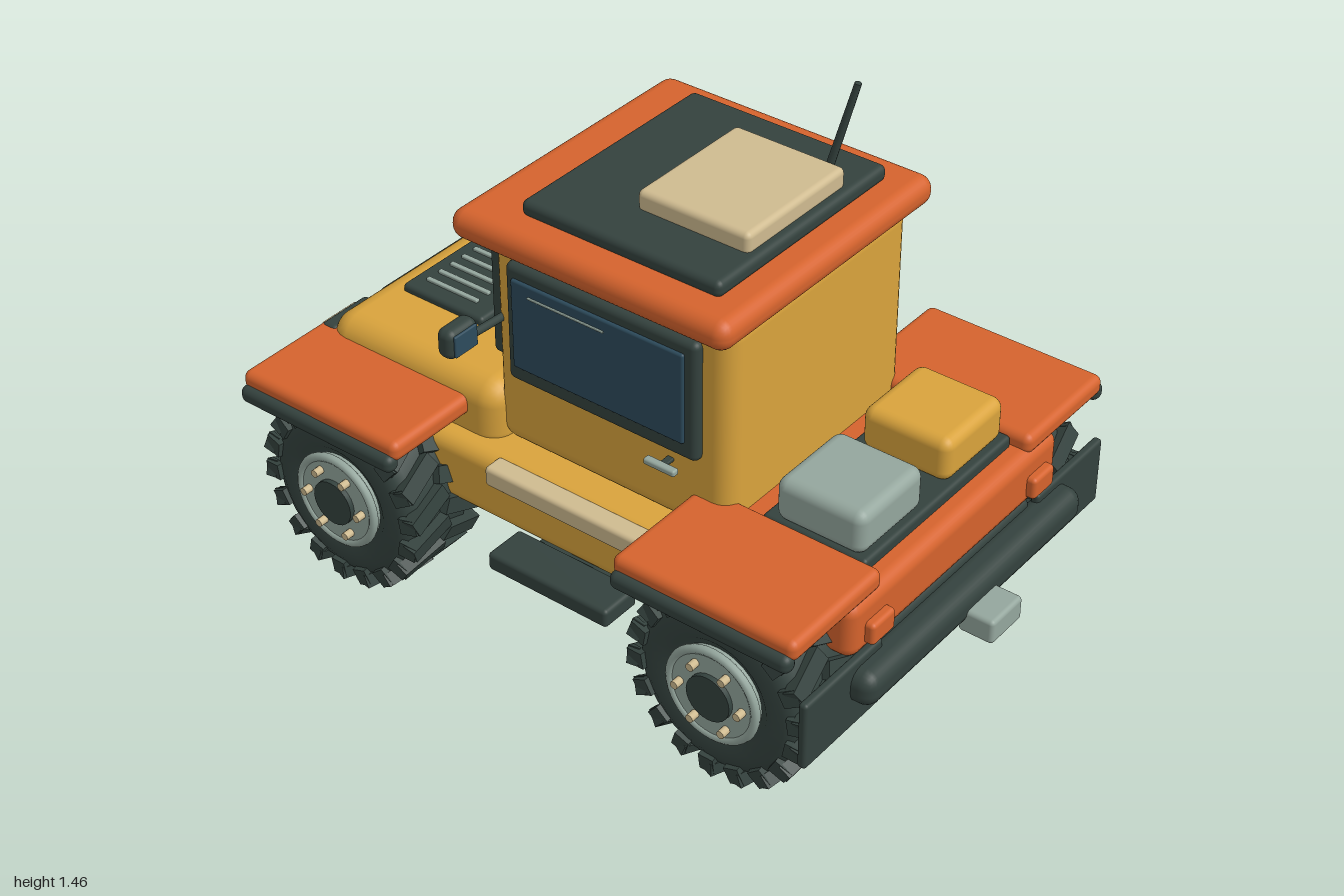
import * as THREE from 'three';
import { RoundedBoxGeometry } from 'three/addons/geometries/RoundedBoxGeometry.js';
import { mergeGeometries } from 'three/addons/utils/BufferGeometryUtils.js';

const paint = (name, color) => {
  const m = new THREE.MeshStandardMaterial({ color });
  m.name = name;
  return m;
};

export function createModel() {
  const mustard = paint('mustard', 0xd9a33c);
  const orange = paint('orange', 0xd5632d);
  const dark = paint('charcoal', 0x34423e);
  const grey = paint('greyGreen', 0x94a69d);
  const beige = paint('beige', 0xcfbb90);
  const blue = paint('glassBlue', 0x2d4b5c);
  const root = new THREE.Group();
  root.name = 'offRoadTruck';

  const add = (name, geo, mat, parent = root) => {
    const m = new THREE.Mesh(geo, mat);
    m.name = name;
    parent.add(m);
    return m;
  };
  // Rounded box given by its extents on each axis
  const box = (name, mat, [x0, x1], [y0, y1], [z0, z1], r = 0.01) => {
    const s = [x1 - x0, y1 - y0, z1 - z0];
    const radius = Math.min(r, Math.min(...s) * 0.49);
    const m = add(name, new RoundedBoxGeometry(...s, 3, radius), mat);
    m.position.set((x0 + x1) / 2, (y0 + y1) / 2, (z0 + z1) / 2);
    return m;
  };
  // The same box on both sides of the model
  const pair = (name, mat, [x0, x1], y, z, r) => {
    box('left' + name, mat, [x0, x1], y, z, r);
    box('right' + name, mat, [-x1, -x0], y, z, r);
  };
  // Round bar between two points
  const bar = (name, mat, a, b, r0, r1 = r0) => {
    const p = new THREE.Vector3(...a), q = new THREE.Vector3(...b);
    const m = add(name, new THREE.CylinderGeometry(r1, r0, p.distanceTo(q), 12), mat);
    m.position.copy(p).lerp(q, 0.5);
    m.quaternion.setFromUnitVectors(new THREE.Vector3(0, 1, 0), q.sub(p).normalize());
  };

  // Chassis and body
  box('chassis', dark, [-0.335, 0.335], [0.19, 0.4], [-0.86, 0.85], 0.025);
  box('lowerBody', mustard, [-0.46, 0.46], [0.28, 0.475], [-0.89, 0.45], 0.04);
  box('hood', mustard, [-0.4, 0.4], [0.42, 0.63], [-0.855, -0.27], 0.065);
  box('cab', mustard, [-0.365, 0.365], [0.47, 1.09], [-0.3, 0.43], 0.05);
  box('rearTub', orange, [-0.45, 0.45], [0.38, 0.54], [0.36, 0.85], 0.035);
  box('bedMat', dark, [-0.315, 0.315], [0.53, 0.57], [0.49, 0.79], 0.012);
  box('greyCargo', grey, [-0.31, -0.05], [0.565, 0.688], [0.52, 0.775], 0.03);
  box('mustardCargo', mustard, [0.045, 0.3], [0.565, 0.69], [0.52, 0.775], 0.03);

  // Roof
  box('roof', orange, [-0.43, 0.43], [1.063, 1.145], [-0.377, 0.46], 0.038);
  box('roofPlate', dark, [-0.337, 0.337], [1.14, 1.185], [-0.222, 0.375], 0.018);
  box('roofBox', beige, [-0.195, 0.195], [1.175, 1.236], [0.02, 0.35], 0.016);
  bar('antenna', dark, [0.198, 1.18, 0.288], [0.22, 1.455, 0.357], 0.011, 0.009);

  // Side windows, handles, sills and steps
  pair('WindowFrame', dark, [0.35, 0.39], [0.692, 1.032], [-0.235, 0.35], 0.018);
  pair('WindowGlass', blue, [0.38, 0.398], [0.74, 0.997], [-0.21, 0.316], 0.007);
  pair('WindowGlint', grey, [0.394, 0.401], [0.96, 0.967], [-0.155, 0.08], 0.002);
  pair('DoorHandle', grey, [0.393, 0.415], [0.646, 0.664], [0.208, 0.302], 0.006);
  pair('HandleMount', dark, [0.35, 0.398], [0.65, 0.66], [0.245, 0.265], 0.003);
  pair('Sill', beige, [0.43, 0.492], [0.418, 0.476], [-0.237, 0.35], 0.012);
  pair('Step', dark, [0.455, 0.577], [0.243, 0.296], [-0.16, 0.22], 0.012);
  pair('StepBracket', dark, [0.32, 0.47], [0.255, 0.285], [-0.1, 0.16], 0.008);

  // Windshield with two panes
  box('windshieldFrame', dark, [-0.335, 0.335], [0.7, 1.035], [-0.332, -0.28], 0.018);
  pair('WindshieldPane', blue, [0.012, 0.305], [0.735, 1.0], [-0.344, -0.32], 0.007);
  box('windshieldDivider', grey, [-0.007, 0.007], [0.735, 1.0], [-0.347, -0.325], 0.003);

  // Mirrors
  for (const s of [1, -1]) {
    bar('mirrorArm', dark, [s * 0.34, 0.838, -0.275], [s * 0.49, 0.848, -0.275], 0.011);
  }
  pair('Mirror', dark, [0.468, 0.572], [0.825, 0.908], [-0.302, -0.248], 0.022);
  pair('MirrorGlass', blue, [0.48, 0.56], [0.836, 0.897], [-0.253, -0.244], 0.004);

  // Fenders with dark edge trim
  for (const [end, z0, z1] of [['Front', -0.895, -0.367], ['Rear', 0.313, 0.842]]) {
    pair(end + 'Fender', orange, [0.315, 0.668], [0.522, 0.58], [z0, z1], 0.022);
    pair(end + 'FenderTrim', dark, [0.643, 0.688], [0.496, 0.545], [z0 + 0.005, z1 - 0.005], 0.02);
  }
  pair('MudFlap', dark, [0.34, 0.648], [0.205, 0.4], [0.842, 0.867], 0.01);

  // Rear bumper, hitch and lights
  box('rearBumper', dark, [-0.472, 0.472], [0.28, 0.378], [0.825, 0.925], 0.04);
  box('hitch', grey, [-0.067, 0.067], [0.258, 0.328], [0.9, 1], 0.012);
  pair('TailLight', orange, [0.303, 0.396], [0.41, 0.473], [0.835, 0.875], 0.012);

  // Front bumper, grille and headlights
  box('frontBumper', dark, [-0.487, 0.487], [0.28, 0.388], [-0.982, -0.88], 0.04);
  box('bumperStrip', beige, [-0.39, 0.39], [0.31, 0.335], [-1, -0.97], 0.005);
  box('grille', dark, [-0.175, 0.175], [0.45, 0.58], [-0.883, -0.83], 0.018);
  for (let i = -4; i <= 4; i++) {
    const x = i * 0.033;
    box('grilleSlat', grey, [x - 0.006, x + 0.006], [0.472, 0.558], [-0.891, -0.87], 0.003);
  }
  pair('HeadlightHousing', dark, [0.218, 0.392], [0.475, 0.585], [-0.887, -0.83], 0.018);
  pair('Headlight', beige, [0.238, 0.372], [0.492, 0.568], [-0.905, -0.87], 0.012);

  // Hood vent
  box('hoodVent', dark, [-0.195, 0.19], [0.615, 0.651], [-0.77, -0.495], 0.012);
  for (let i = -3; i <= 3; i++) {
    const x = i * 0.046 - 0.002;
    box('ventSlat', grey, [x - 0.007, x + 0.007], [0.64, 0.659], [-0.73, -0.555], 0.003);
  }

  // Wheel parts, axis along x with the outer face at +x
  const alongX = (g) => g.rotateZ(-Math.PI / 2);
  const disc = (r, x0, x1, n = 32) => alongX(new THREE.CylinderGeometry(r, r, x1 - x0, n)).translate((x0 + x1) / 2, 0, 0);
  const profile = [[0, -0.11], [0.135, -0.112], [0.15, -0.12], [0.2, -0.122], [0.228, -0.11], [0.243, -0.085],
    [0.243, 0.085], [0.228, 0.11], [0.2, 0.124], [0.15, 0.122], [0.135, 0.11], [0, 0.105]];
  const tyreGeo = alongX(new THREE.LatheGeometry(profile.map((p) => new THREE.Vector2(...p)), 40));
  const lugs = [];
  const count = 18;
  for (let i = 0; i < count; i++) {
    for (const s of [1, -1]) {
      const angle = ((i + (s > 0 ? 0 : 0.5)) / count) * Math.PI * 2;
      const tread = new THREE.BoxGeometry(0.135, 0.036, 0.046).rotateY(s * 0.38).translate(s * 0.06, 0.247, 0);
      const shoulder = new THREE.BoxGeometry(0.022, 0.05, 0.044).rotateZ(s * 0.15).translate(s * 0.116, 0.236, -s * s * 0.022);
      lugs.push(tread.rotateX(angle), shoulder.rotateX(angle));
    }
  }
  const lugGeo = mergeGeometries(lugs);
  const bolts = [];
  for (let i = 0; i < 6; i++) {
    const a = (i / 6) * Math.PI * 2;
    bolts.push(disc(0.011, 0.12, 0.163, 10).translate(0, Math.sin(a) * 0.092, Math.cos(a) * 0.092));
  }
  const boltGeo = mergeGeometries(bolts);
  const rimGeo = disc(0.128, 0.08, 0.138);
  const lipGeo = new THREE.TorusGeometry(0.126, 0.012, 10, 40).rotateY(Math.PI / 2).translate(0.132, 0, 0);
  const hubGeo = disc(0.064, 0.12, 0.152, 24);

  for (const [end, z] of [['front', -0.628], ['rear', 0.582]]) {
    bar(end + 'Axle', dark, [-0.42, 0.267, z], [0.42, 0.267, z], 0.045);
    for (const s of [1, -1]) {
      const wheel = new THREE.Group();
      wheel.name = end + (s > 0 ? 'Left' : 'Right') + 'Wheel';
      wheel.position.set(s * 0.4925, 0.267, z);
      if (s < 0) wheel.rotation.y = Math.PI;
      add('tyre', tyreGeo, dark, wheel);
      add('treadLugs', lugGeo, dark, wheel);
      add('rim', rimGeo, grey, wheel);
      add('rimLip', lipGeo, grey, wheel);
      add('hub', hubGeo, dark, wheel);
      add('wheelBolts', boltGeo, beige, wheel);
      root.add(wheel);
    }
  }
  return root;
}
